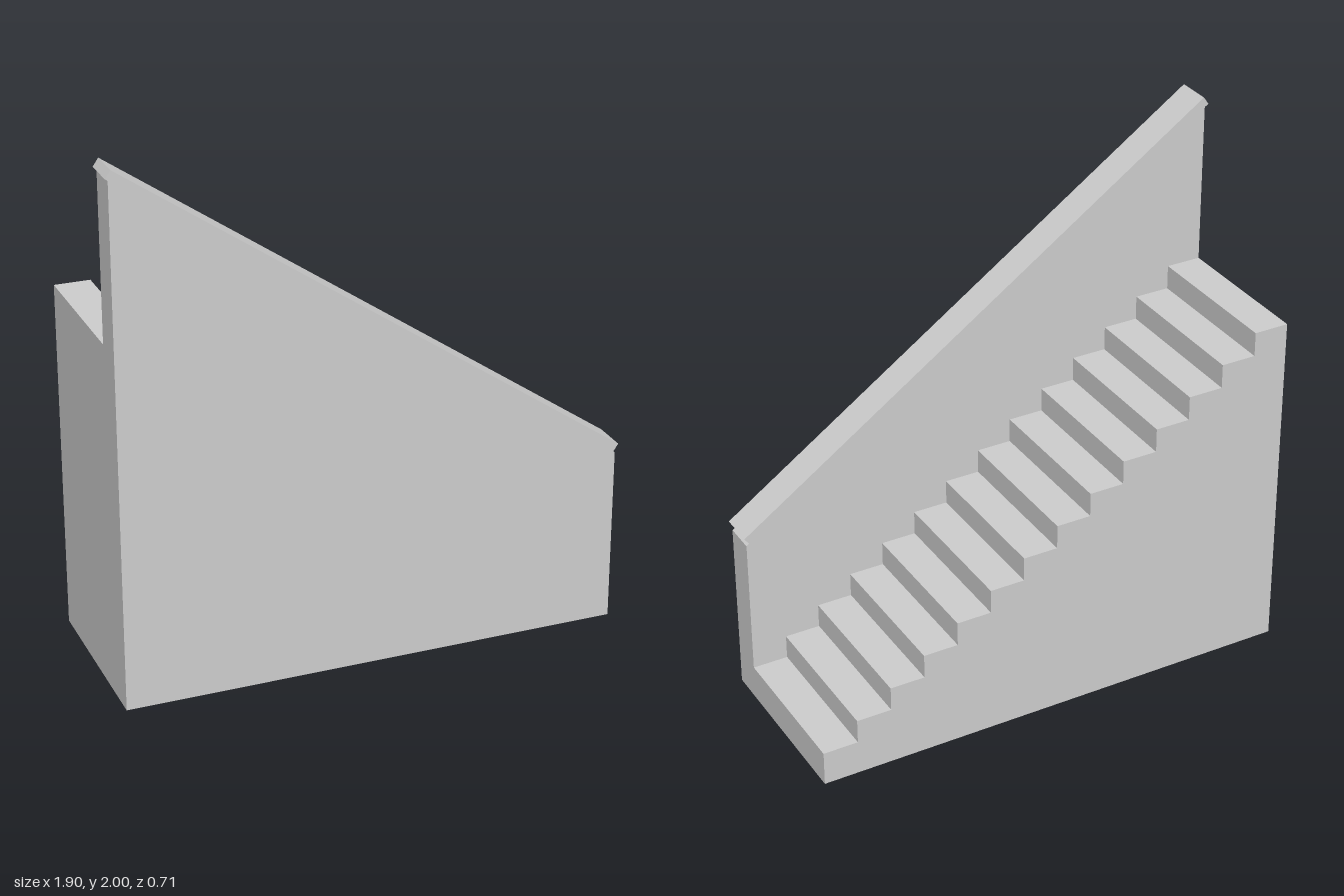
import * as THREE from 'three';

export function createModel() {
  const group = new THREE.Group();
  group.name = 'staircase';
  const plaster = new THREE.MeshStandardMaterial({ color: 0xcccccc });
  plaster.name = 'light grey';

  const add = (name, geometry) => {
    const mesh = new THREE.Mesh(geometry, plaster);
    mesh.name = name;
    group.add(mesh);
    return mesh;
  };

  // Extrudes an outline in the xy plane between two z positions
  const slab = (name, points, zBack, zFront) => {
    const shape = new THREE.Shape(points.map(([x, y]) => new THREE.Vector2(x, y)));
    const geometry = new THREE.ExtrudeGeometry(shape, { depth: zFront - zBack, bevelEnabled: false });
    geometry.translate(0, 0, zBack);
    return add(name, geometry);
  };

  // Solid steps, rising from right to left
  const count = 14, left = -0.944, right = 0.941;
  const going = (right - left) / count, rise = 0.0931, firstHeight = 0.134;
  const zBack = -0.355, zWall = 0.228;
  for (let i = 0; i < count; i++) {
    const height = firstHeight + i * rise;
    const step = add(`step${i + 1}`, new THREE.BoxGeometry(going, height, zWall - zBack));
    step.position.set(right - (i + 0.5) * going, height / 2, (zBack + zWall) / 2);
  }

  // Side wall with a sloping top
  slab('sideWall', [[left, 0], [right, 0], [right, 0.669], [left, 1.964]], zWall, 0.349);

  // Sloping rail that caps the wall
  slab('handrail', [[-0.955, 1.971], [0.93, 0.676], [0.95, 0.705], [-0.935, 2.0]], 0.222, 0.356);

  return group;
}
